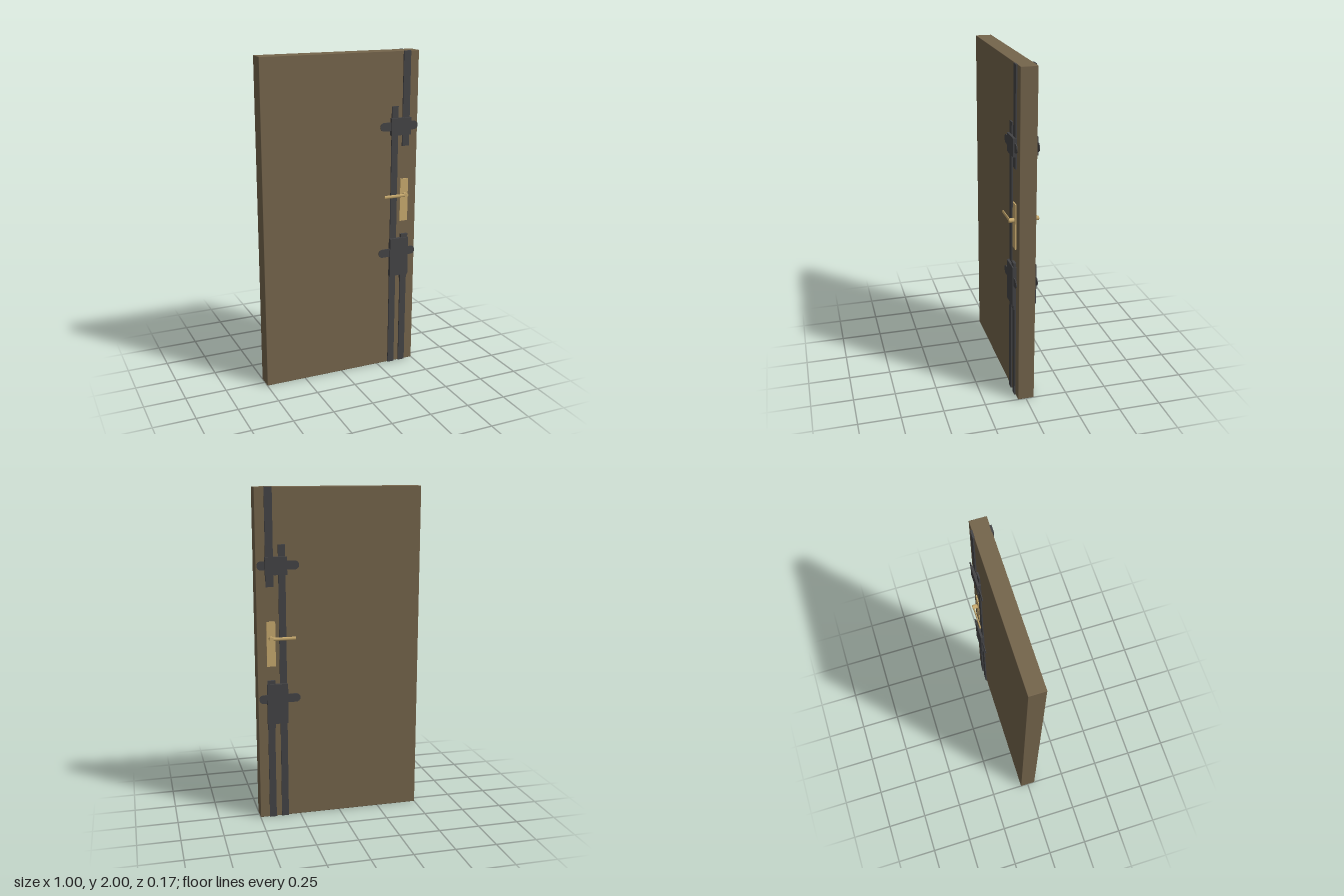
import * as THREE from 'three';
import { RoundedBoxGeometry } from 'three/addons/geometries/RoundedBoxGeometry.js';

const wood = new THREE.MeshStandardMaterial({ color: 0x75654c });
const iron = new THREE.MeshStandardMaterial({ color: 0x444446 });
const brass = new THREE.MeshStandardMaterial({ color: 0xc8aa6e });

const HALF = 0.049; // half the door thickness

export function createModel() {
  const model = new THREE.Group();

  const add = (parent, name, geometry, material, x, y, z) => {
    const mesh = new THREE.Mesh(geometry, material);
    mesh.name = name;
    mesh.position.set(x, y, z);
    parent.add(mesh);
    return mesh;
  };

  // Door leaf with slightly eased edges
  add(model, 'doorLeaf', new RoundedBoxGeometry(1, 2, HALF * 2, 2, 0.003), wood, 0, 1, 0);

  // Flat sliding bar with rounded ends, lying across a lock case
  const latchGeometry = () => {
    const r = 0.026, h = 0.125 - r;
    const shape = new THREE.Shape();
    shape.absarc(h, 0, r, -Math.PI / 2, Math.PI / 2);
    shape.absarc(-h, 0, r, Math.PI / 2, Math.PI * 1.5);
    const g = new THREE.ExtrudeGeometry(shape, { depth: 0.005, bevelEnabled: false, curveSegments: 10 });
    return g.translate(0, 0, -0.0025);
  };

  // The same hardware sits on both faces of the door
  for (const side of [1, -1]) {
    const hardware = new THREE.Group();
    hardware.name = side > 0 ? 'frontHardware' : 'backHardware';
    model.add(hardware);

    // Block given by its x and y ranges and how far out it reaches in z
    const block = (name, material, x0, x1, y0, y1, z1, z0 = HALF - 0.003) =>
      add(hardware, name, new THREE.BoxGeometry(x1 - x0, y1 - y0, z1 - z0), material,
        (x0 + x1) / 2, (y0 + y1) / 2, side * (z0 + z1) / 2);

    // Vertical bolt rods
    block('longRod', iron, 0.325, 0.367, 0, 1.675, 0.057);
    block('upperRod', iron, 0.397, 0.443, 1.43, 2, 0.057);
    block('lowerRod', iron, 0.401, 0.443, 0, 0.6, 0.057);
    block('lowerRodSleeve', iron, 0.397, 0.443, 0.575, 0.87, 0.064);

    // Lock cases, each with a horizontal latch
    block('upperCase', iron, 0.317, 0.447, 1.5, 1.605, 0.071);
    block('lowerCase', iron, 0.321, 0.446, 0.602, 0.847, 0.071);
    for (const y of [1.555, 0.757])
      add(hardware, 'latch', latchGeometry(), iron, 0.37, y, side * 0.062);

    // Handle plate, spindle and lever
    block('handlePlate', brass, 0.39, 0.443, 0.955, 1.225, 0.056);
    add(hardware, 'handleSpindle', new THREE.CylinderGeometry(0.013, 0.013, 0.039, 20), brass,
      0.418, 1.125, side * 0.0675).rotation.x = Math.PI / 2;
    const lever = add(hardware, 'handleLever', new THREE.CylinderGeometry(0.01, 0.01, 0.146, 16), brass,
      0.345, 1.125, side * 0.081);
    lever.rotation.z = Math.PI / 2;
    lever.scale.z = 0.5;
  }

  return model;
}
